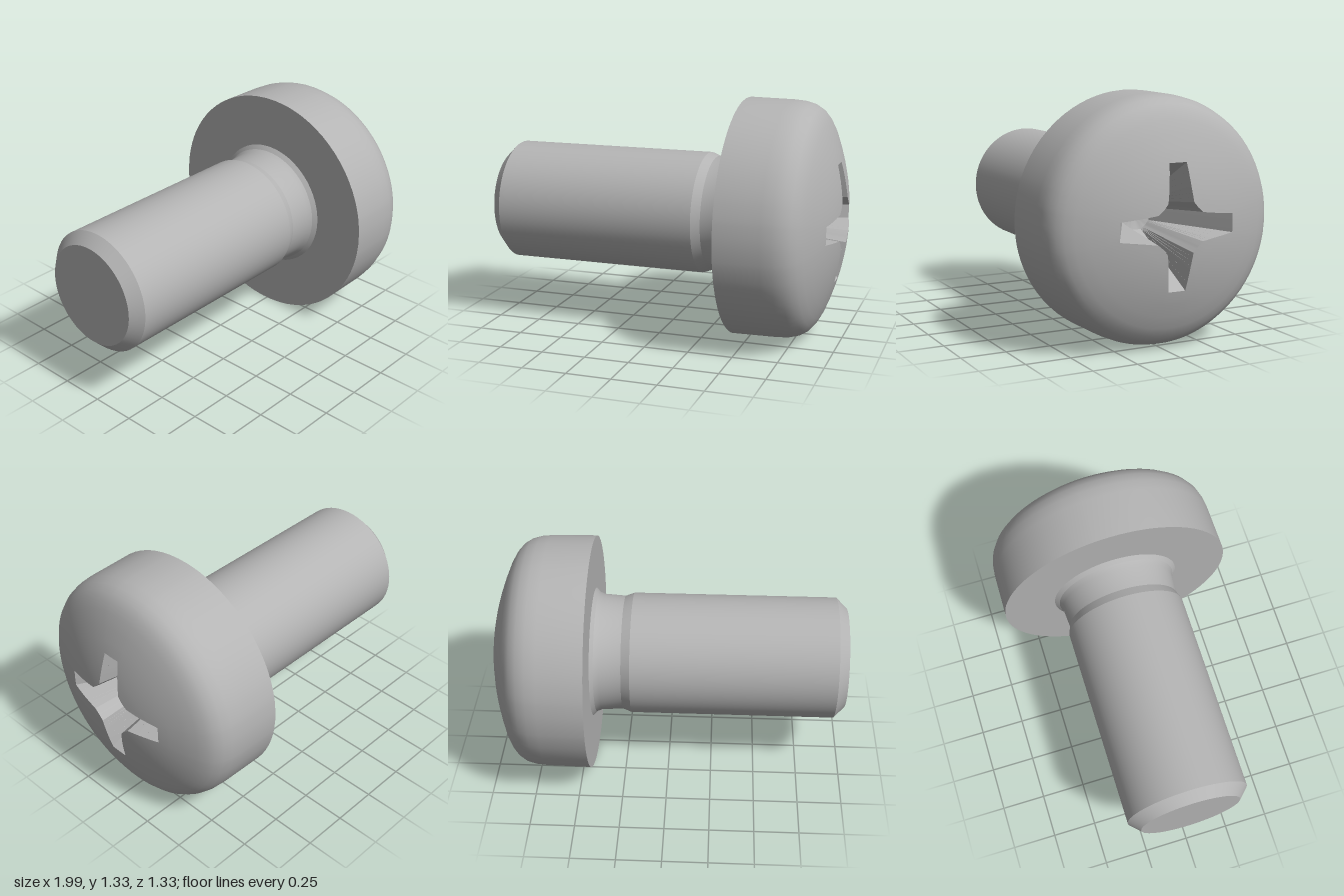
import * as THREE from 'three';
import { toCreasedNormals } from 'three/addons/utils/BufferGeometryUtils.js';

const steel = new THREE.MeshStandardMaterial({ color: 0xb4b4b4 });
steel.name = 'steel grey';

// Crown height along the screw axis at radius r
const crown = (r) => 1 - 0.4 * r * r;

// Skin a stack of equal-length closed rings, ordered from the outside in
function skin(rings) {
  const n = rings[0].length;
  const pos = [];
  const index = [];
  for (const ring of rings) for (const p of ring) pos.push(p.x, p.y, p.z);
  for (let i = 0; i < rings.length - 1; i++) {
    for (let j = 0; j < n; j++) {
      const a = i * n + j, b = i * n + (j + 1) % n;
      index.push(a, a + n, b, b, a + n, b + n);
    }
  }
  const geometry = new THREE.BufferGeometry();
  geometry.setAttribute('position', new THREE.Float32BufferAttribute(pos, 3));
  geometry.setIndex(index);
  return toCreasedNormals(geometry, 0.55);
}

// Repeat one arm of the cross four times and subdivide its edges
function crossRing(arm) {
  const corners = [];
  for (let k = 0; k < 4; k++) {
    for (const [x, z] of arm) {
      corners.push(new THREE.Vector2(x, z).rotateAround(new THREE.Vector2(), k * Math.PI / 2));
    }
  }
  return corners.flatMap((p, i) => {
    const q = corners[(i + 1) % corners.length];
    return [0, 1 / 3, 2 / 3].map((t) => p.clone().lerp(q, t));
  });
}

export function createModel() {
  const screw = new THREE.Group();
  screw.name = 'screw';
  const add = (name, geometry) => {
    const mesh = new THREE.Mesh(geometry, steel);
    mesh.name = name;
    screw.add(mesh);
  };

  // Shaft: chamfered tip, plain body, narrowed neck flaring into the head
  const shaftProfile = [
    [0, -1], [0.285, -1], [0.344, -0.94], [0.344, 0.21], [0.325, 0.26],
    [0.333, 0.38], [0.345, 0.41], [0.37, 0.432],
  ].map(([r, y]) => new THREE.Vector2(r, y));
  add('shaft', toCreasedNormals(new THREE.LatheGeometry(shaftProfile, 64), 0.35));

  // Cross outline at the crown and at the bottom of the recess
  const mouth = crossRing([
    [0.2, -0.065], [0.33, -0.05], [0.33, 0.05], [0.2, 0.065], [0.13, 0.075], [0.1, 0.1], [0.075, 0.13],
  ]);
  const bottom = crossRing([
    [0.078, -0.036], [0.08, -0.034], [0.08, 0.034], [0.078, 0.036], [0.07, 0.045], [0.06, 0.06], [0.045, 0.07],
  ]);
  const circle = (r, y) => mouth.map((p) => {
    const s = r / p.length();
    return new THREE.Vector3(p.x * s, y, p.y * s);
  });

  // Head: flat underside, rim, rounded shoulder and crown, open at the cross
  const headRings = [
    [0.3, 0.43], [0.666, 0.43], [0.662, 0.68], [0.657, 0.74], [0.643, 0.79],
    [0.618, 0.83], [0.585, 0.858], [0.54, crown(0.54)], [0.47, crown(0.47)],
  ].map(([r, y]) => circle(r, y));
  for (const t of [0, 0.3, 0.6, 0.8, 1]) {
    headRings.push(mouth.map((p) => {
      const r = THREE.MathUtils.lerp(0.4, p.length(), t);
      const s = r / p.length();
      return new THREE.Vector3(p.x * s, crown(r), p.y * s);
    }));
  }
  add('head', skin(headRings));

  // Recess: walls tapering to a small floor with a shallow point
  add('crossRecess', skin([
    headRings[headRings.length - 1],
    bottom.map((p) => new THREE.Vector3(p.x, 0.52, p.y)),
    bottom.map(() => new THREE.Vector3(0, 0.49, 0)),
  ]));

  // Lay the screw on its side, head towards +x
  screw.rotation.z = -Math.PI / 2;
  screw.position.y = 0.667;
  const model = new THREE.Group();
  model.name = 'panHeadScrew';
  model.add(screw);
  return model;
}
